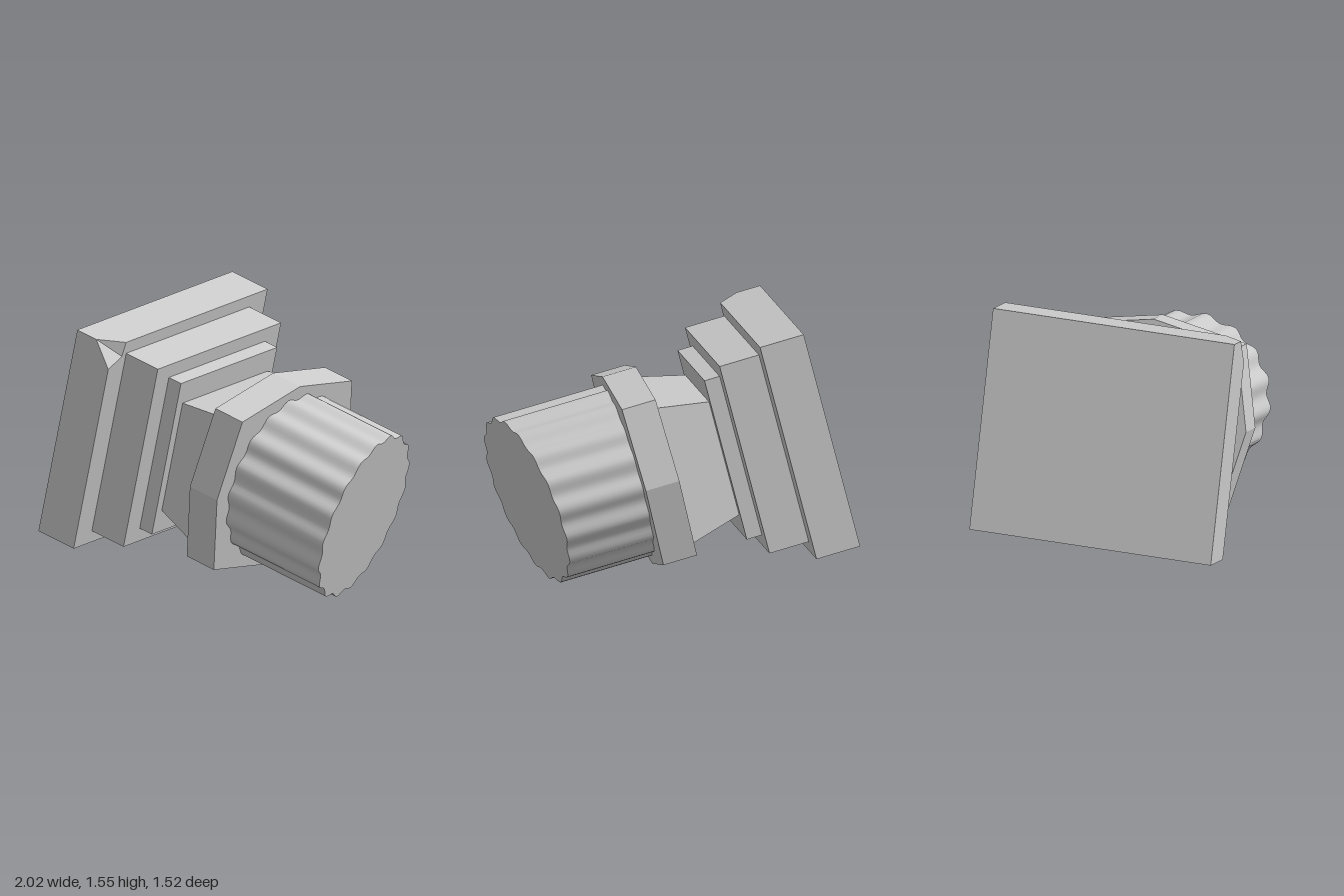
import * as THREE from 'three';
import { toCreasedNormals } from 'three/addons/utils/BufferGeometryUtils.js';

// Closed solid through rings of points; x runs along the column axis
function loft(rings, crease = 0.3) {
  const pos = [];
  const tri = (a, b, c) => {
    const area = b.clone().sub(a).cross(c.clone().sub(a)).length();
    if (area > 1e-7) pos.push(...a.toArray(), ...b.toArray(), ...c.toArray());
  };
  const centre = (r) => r.reduce((s, p) => s.add(p), new THREE.Vector3()).divideScalar(r.length);
  const first = rings[0], last = rings[rings.length - 1], n = first.length;
  const c0 = centre(first), c1 = centre(last);
  for (let j = 0; j < n; j++) {
    const k = (j + 1) % n;
    for (let i = 0; i < rings.length - 1; i++) {
      const p = rings[i], q = rings[i + 1];
      tri(p[j], p[k], q[k]);
      tri(p[j], q[k], q[j]);
    }
    tri(c0, first[k], first[j]);
    tri(c1, last[j], last[k]);
  }
  const g = new THREE.BufferGeometry();
  g.setAttribute('position', new THREE.Float32BufferAttribute(pos, 3));
  g.computeVertexNormals();
  return toCreasedNormals(g, crease);
}

const ring = (x, points) => points.map(([y, z]) => new THREE.Vector3(x, y, z));
const rect = (h, w) => [[h, -w], [h, w], [-h, w], [-h, -w]];

export function createModel() {
  const model = new THREE.Group();
  const column = new THREE.Group();
  column.name = 'fallenColumn';
  model.add(column);
  const material = new THREE.MeshStandardMaterial({ color: 0xcccccc });
  const add = (name, geometry) => {
    const mesh = new THREE.Mesh(geometry, material);
    mesh.name = name;
    column.add(mesh);
  };

  // Plinth slab with one chipped corner
  const H = 0.64, W = 0.715;
  const whole = [[H, -W], [H, W], [H, W], [H, W], [-H, W], [-H, -W]];
  const chipped = [[H, -W], [H, W - 0.125], [H - 0.085, W - 0.11], [H - 0.14, W], [-H, W], [-H, -W]];
  add('plinth', loft([ring(0, whole), ring(0.14, whole), ring(0.26, chipped)], 0.1));

  // Square steps and the flaring neck: start, end, half sizes at both ends
  const blocks = [
    ['lowerStep', 0.25, 0.494, [0.565, 0.568], [0.565, 0.568]],
    ['upperStep', 0.48, 0.584, [0.48, 0.443], [0.48, 0.443]],
    ['neck', 0.575, 0.895, [0.34, 0.388], [0.41, 0.456]],
  ];
  for (const [name, x0, x1, a, b] of blocks) {
    add(name, loft([ring(x0, rect(...a)), ring(x1, rect(...b))], 0.1));
  }

  // Collar: a square with sides bowed out at their middles
  const collar = [[0.565, 0], [0.47, 0.505], [0, 0.608], [-0.47, 0.505],
    [-0.565, 0], [-0.47, -0.505], [0, -0.608], [0.47, -0.505]];
  add('collar', loft([ring(0.89, collar), ring(1.09, collar)], 0.1));

  // Fluted shaft, broken off on a slant
  const flutes = 18, sides = flutes * 8, section = [];
  for (let i = 0; i < sides; i++) {
    const t = (i / sides) * Math.PI * 2;
    const r = 0.492 - 0.013 * Math.cos(flutes * t);
    section.push([r * Math.cos(t), r * Math.sin(t)]);
  }
  const broken = section.map(([y, z]) => new THREE.Vector3(1.689 + 0.072 * y + 0.2 * z, y, z));
  add('flutedShaft', loft([ring(1.08, section), broken], 0.7));

  // Tilt of the whole column
  const axis = new THREE.Vector3(0.965, -0.248, 0.094).normalize();
  const side = axis.clone().cross(new THREE.Vector3(0.243, 0.969, 0.063)).normalize();
  const up = side.clone().cross(axis);
  column.quaternion.setFromRotationMatrix(new THREE.Matrix4().makeBasis(axis, up, side));
  column.position.set(-0.77, 0.89, -0.01);
  return model;
}
